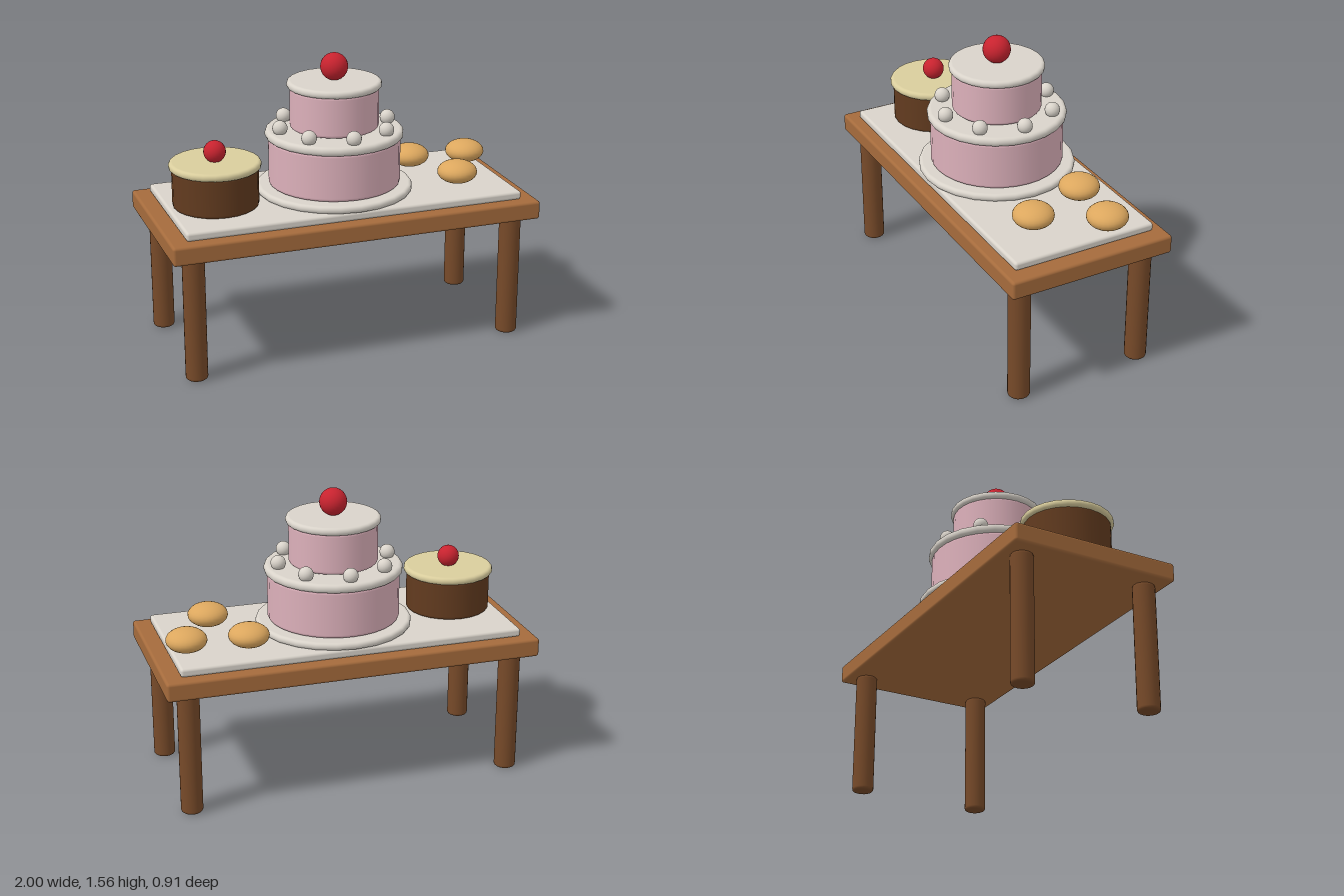
import * as THREE from 'three';
import { RoundedBoxGeometry } from 'three/addons/geometries/RoundedBoxGeometry.js';

const mat = (name, color) => new THREE.MeshStandardMaterial({ name, color });

// Solid disc or post with rounded rims, standing on y = 0
function roundedDisc(radius, height, bevel, segments = 24) {
  const steps = 5, e = 0.002, p = [];
  const add = (x, y) => p.push(new THREE.Vector2(x, y));
  add(0, 0);
  add(radius - bevel - e, 0);
  for (let i = 0; i <= steps; i++) {
    const a = (i / steps) * Math.PI / 2;
    add(radius - bevel + Math.sin(a) * bevel, bevel - Math.cos(a) * bevel);
  }
  // short edge strips keep the flat faces evenly shaded
  if (height - 2 * bevel > 3 * e) {
    add(radius, bevel + e);
    add(radius, height - bevel - e);
  }
  for (let i = 0; i <= steps; i++) {
    const a = (i / steps) * Math.PI / 2;
    add(radius - bevel + Math.cos(a) * bevel, height - bevel + Math.sin(a) * bevel);
  }
  add(radius - bevel - e, height);
  add(0, height);
  return new THREE.LatheGeometry(p, segments);
}

export function createModel() {
  const model = new THREE.Group();
  model.name = 'dessertTable';

  const wood = mat('table wood', 0xa56b3c);
  const darkWood = mat('leg wood', 0x774a29);
  const cream = mat('white icing', 0xd9d3ca);
  const pink = mat('pink sponge', 0xdcb0ba);
  const red = mat('cherry red', 0xc8232f);
  const chocolate = mat('chocolate', 0x623b1f);
  const custard = mat('custard icing', 0xd9cd9d);
  const golden = mat('golden bun', 0xdca75e);

  const part = (name, geometry, material, x, y, z, parent = model) => {
    const mesh = new THREE.Mesh(geometry, material);
    mesh.name = name;
    mesh.position.set(x, y, z);
    parent.add(mesh);
    return mesh;
  };
  const group = (name, x, z) => {
    const g = new THREE.Group();
    g.name = name;
    g.position.set(x, 0, z);
    model.add(g);
    return g;
  };

  // Table
  part('tableTop', new RoundedBoxGeometry(2, 0.1, 0.91, 3, 0.015), wood, 0, 0.72, 0);
  const leg = roundedDisc(0.058, 0.675, 0.015, 20);
  for (const x of [-0.875, 0.875])
    for (const z of [-0.35, 0.35]) part('leg', leg, darkWood, x, 0, z);
  part('servingBoard', new RoundedBoxGeometry(1.83, 0.046, 0.79, 3, 0.015), cream, 0, 0.793, 0);

  // Tiered cake
  const cake = group('tieredCake', 0, 0);
  part('cakePlate', roundedDisc(0.415, 0.04, 0.018), cream, 0, 0.815, 0, cake);
  part('lowerTier', roundedDisc(0.35, 0.255, 0.015, 32), pink, 0, 0.858, 0, cake);
  part('lowerIcing', roundedDisc(0.367, 0.047, 0.021), cream, 0, 1.107, 0, cake);
  part('upperTier', roundedDisc(0.235, 0.22, 0.015, 32), pink, 0, 1.162, 0, cake);
  part('upperIcing', roundedDisc(0.25, 0.04, 0.018), cream, 0, 1.375, 0, cake);
  part('cakeCherry', new THREE.SphereGeometry(0.073, 24, 16), red, 0, 1.485, 0, cake);

  // Icing beads around the lower tier
  const bead = new THREE.SphereGeometry(0.04, 20, 14);
  for (let i = 0; i < 8; i++) {
    const a = i * Math.PI / 4;
    part('icingBead', bead, cream, Math.cos(a) * 0.3, 1.18, Math.sin(a) * 0.3, cake);
  }

  // Small chocolate cake
  const small = group('chocolateCake', -0.665, 0.04);
  part('chocolateBase', roundedDisc(0.225, 0.21, 0.015), chocolate, 0, 0.817, 0, small);
  part('custardTop', roundedDisc(0.24, 0.04, 0.018), custard, 0, 1.018, 0, small);
  part('smallCherry', new THREE.SphereGeometry(0.058, 24, 16), red, 0, 1.106, 0, small);

  // Buns
  const bun = new THREE.SphereGeometry(0.107, 24, 16).scale(1, 0.575, 1);
  for (const [x, z] of [[0.515, -0.2], [0.835, -0.17], [0.65, 0.147]])
    part('bun', bun, golden, x, 0.88, z);

  return model;
}
